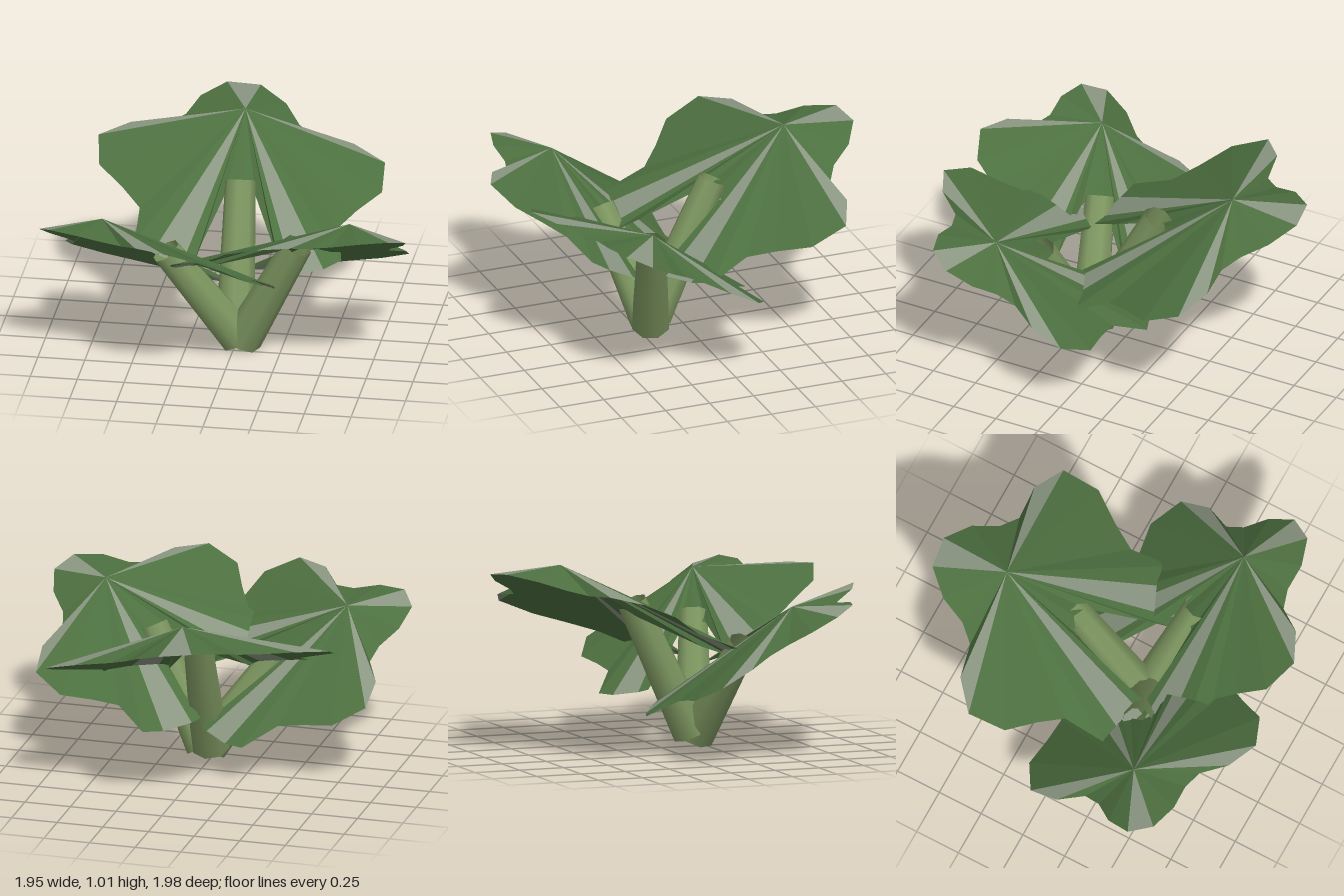
import * as THREE from 'three';

const V = (a) => new THREE.Vector3(...a);
const mat = (color, extra = {}) => new THREE.MeshStandardMaterial({ color, side: THREE.DoubleSide, ...extra });

// Half outline of a five-lobed leaf as [across, along, droop], from the stem notch to the far tip
const HALF = [
  [0.08, 0.51, 0.04], ...[
    [0.2, 0.86], [0.24, 1.02], [0.3, 1.01], [0.46, 0.945], [0.555, 0.87], [0.535, 0.64], [0.63, 0.51],
    [0.76, 0.365], [0.77, 0.155], [0.60, 0.045], [0.40, 0.03], [0.305, -0.05], [0.23, -0.19], [0.09, -0.305],
  ].map(([v, u]) => [v, u, 0.17 * (1 - u)]),
];
const OUTLINE = [[0, 0.46, 0.03], ...HALF, ...HALF.map(([v, u, d]) => [-v, u, d]).reverse()];
// Segments of the half outline that end a pale vein
const VEINS = [4, 10, 15];

// Pale vein fans and green blades share the raised leaf centre; flare spreads the two long lobes
function makeLeaf(name, centre, along, across, lift, flare) {
  const c = V(centre), u = V(along), v = V(across);
  const n = u.clone().cross(v).normalize().multiplyScalar(lift);
  const rim = OUTLINE.map(([a, b, droop]) => c.clone()
    .addScaledVector(v, a * (1 + flare * Math.max(0, b))).addScaledVector(u, b).addScaledVector(n, -droop));
  const blade = [], vein = [];
  rim.forEach((p, i) => {
    const q = rim[(i + 1) % rim.length];
    const mirrored = Math.min(i, rim.length - 1 - i);
    const list = VEINS.includes(mirrored) ? vein : blade;
    list.push(c, p, q);
  });
  const leaf = new THREE.Group();
  leaf.name = name;
  for (const [part, pts, color] of [['leafBlade', blade, 0x4d7040], ['leafVeins', vein, 0x8a9682]]) {
    const geo = new THREE.BufferGeometry().setFromPoints(pts);
    geo.computeVertexNormals();
    const mesh = new THREE.Mesh(geo, mat(color, { flatShading: true }));
    mesh.name = part;
    leaf.add(mesh);
  }
  return leaf;
}

// Hollow, slightly tapered stem between two points
function makeStem(name, from, to) {
  const a = V(from), b = V(to), d = b.clone().sub(a);
  const stem = new THREE.Mesh(new THREE.CylinderGeometry(0.08, 0.105, d.length(), 8, 1, true), mat(0x7d9660));
  stem.position.copy(a).add(b).multiplyScalar(0.5);
  stem.quaternion.setFromUnitVectors(new THREE.Vector3(0, 1, 0), d.normalize());
  stem.name = name;
  return stem;
}

export function createModel() {
  const plant = new THREE.Group();
  plant.name = 'plant';
  plant.add(
    // Stems fan out from a shared foot
    makeStem('backStem', [0, 0.08, 0.17], [-0.03, 0.795, -0.18]),
    makeStem('leftStem', [0.042, 0.055, 0.2], [0.355, 0.665, 0.32]),
    makeStem('rightStem', [0.02, 0.065, 0.2], [-0.345, 0.59, 0.33]),
    // Large back leaf and two smaller, mirrored front leaves
    makeLeaf('backLeaf', [-0.07, 1.02, -0.6], [0.095, -0.537, 0.86], [0.967, -0.105, -0.155], 1, 0),
    makeLeaf('rightLeaf', [-0.66, 0.82, 0.48], [0.75, -0.475, -0.32], [-0.41, -0.27, -0.63], 0.8, 0.18),
    makeLeaf('leftLeaf', [0.65, 0.86, 0.43], [-0.77, -0.455, -0.32], [-0.41, 0.27, 0.65], 0.8, 0.18),
  );
  return plant;
}
